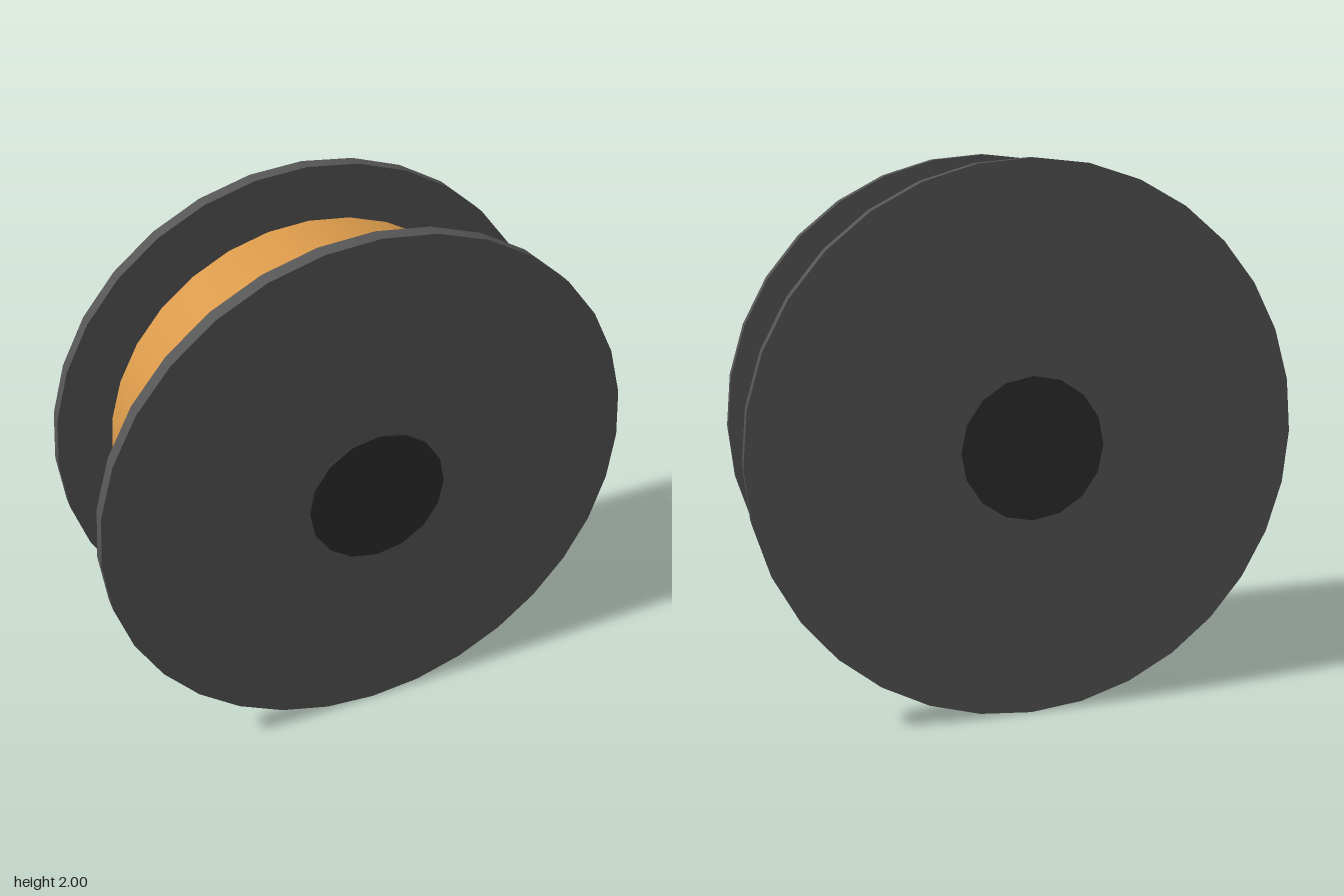
import * as THREE from 'three';

const flangeGrey = new THREE.MeshStandardMaterial({ color: 0x555555 });
const hubBlack = new THREE.MeshStandardMaterial({ color: 0x2c2c2c });
const windingAmber = new THREE.MeshStandardMaterial({ color: 0xd9994a });

// Closed disc or drum with its axis along z
function drum(name, radius, length, sides, material, z = 0) {
  const geometry = new THREE.CylinderGeometry(radius, radius, length, sides);
  geometry.rotateX(Math.PI / 2);
  const mesh = new THREE.Mesh(geometry, material);
  mesh.name = name;
  mesh.position.set(0, 1, z);
  return mesh;
}

export function createModel() {
  const spool = new THREE.Group();
  spool.name = 'spool';

  // Wound material, stopping just short of the flanges
  spool.add(drum('winding', 0.8, 0.552, 32, windingAmber));

  // Core joining the two flanges
  spool.add(drum('core', 0.3, 0.564, 32, hubBlack));

  // Flange and slightly raised hub cap on each side
  for (const [side, sign] of [['front', 1], ['back', -1]]) {
    spool.add(drum(side + 'Flange', 1, 0.058, 32, flangeGrey, sign * 0.311));
    spool.add(drum(side + 'HubCap', 0.26, 0.03, 16, hubBlack, sign * 0.335));
  }
  return spool;
}
